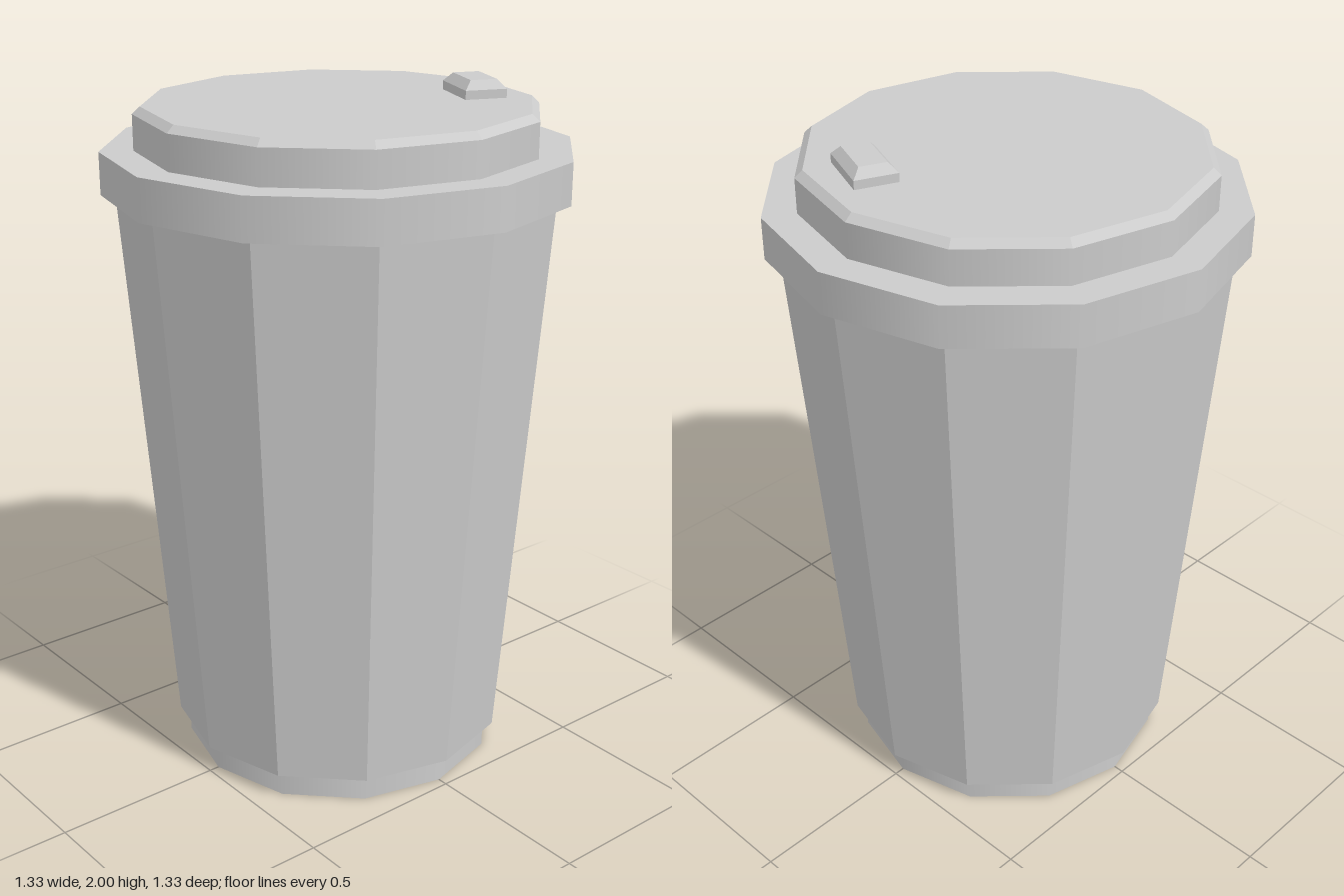
import * as THREE from 'three';

const SIDES = 12;
const smoothMat = new THREE.MeshStandardMaterial({ color: 0xcccccc });
const flatMat = new THREE.MeshStandardMaterial({ color: 0xcccccc, flatShading: true });

// Twelve-sided ring section between two heights
function section(name, rBottom, rTop, y0, y1, material) {
  const geo = new THREE.CylinderGeometry(rTop, rBottom, y1 - y0, SIDES);
  geo.translate(0, (y0 + y1) / 2, 0);
  const mesh = new THREE.Mesh(geo, material);
  mesh.name = name;
  return mesh;
}

// Small block whose upper part slopes in to a smaller top
function drinkTab() {
  const w = 0.184, d = 0.122, h = 0.05, inset = 0.022;
  const geo = new THREE.BoxGeometry(w, h, d, 1, 2, 1);
  const p = geo.attributes.position;
  for (let i = 0; i < p.count; i++) {
    if (p.getY(i) > h / 4) {
      p.setX(i, p.getX(i) - Math.sign(p.getX(i)) * inset);
      p.setZ(i, p.getZ(i) - Math.sign(p.getZ(i)) * inset);
    }
  }
  const mesh = new THREE.Mesh(geo, flatMat);
  mesh.name = 'drinkTab';
  mesh.position.set(0.15, 1.975, -0.37);
  mesh.rotation.y = -0.393;
  return mesh;
}

export function createModel() {
  const cup = new THREE.Group();
  cup.name = 'takeawayCup';

  // Paper cup
  cup.add(section('cupBase', 0.47, 0.47, 0, 0.08, smoothMat));
  cup.add(section('cupBody', 0.5, 0.625, 0.08, 1.71, flatMat));

  // Lid: wide rim, raised wall, bevelled top edge and tab
  const lid = new THREE.Group();
  lid.name = 'lid';
  lid.add(section('lidRim', 0.665, 0.665, 1.71, 1.83, smoothMat));
  lid.add(section('lidWall', 0.57, 0.57, 1.83, 1.93, smoothMat));
  lid.add(section('lidBevel', 0.57, 0.548, 1.93, 1.95, flatMat));
  lid.add(drinkTab());
  cup.add(lid);

  return cup;
}
